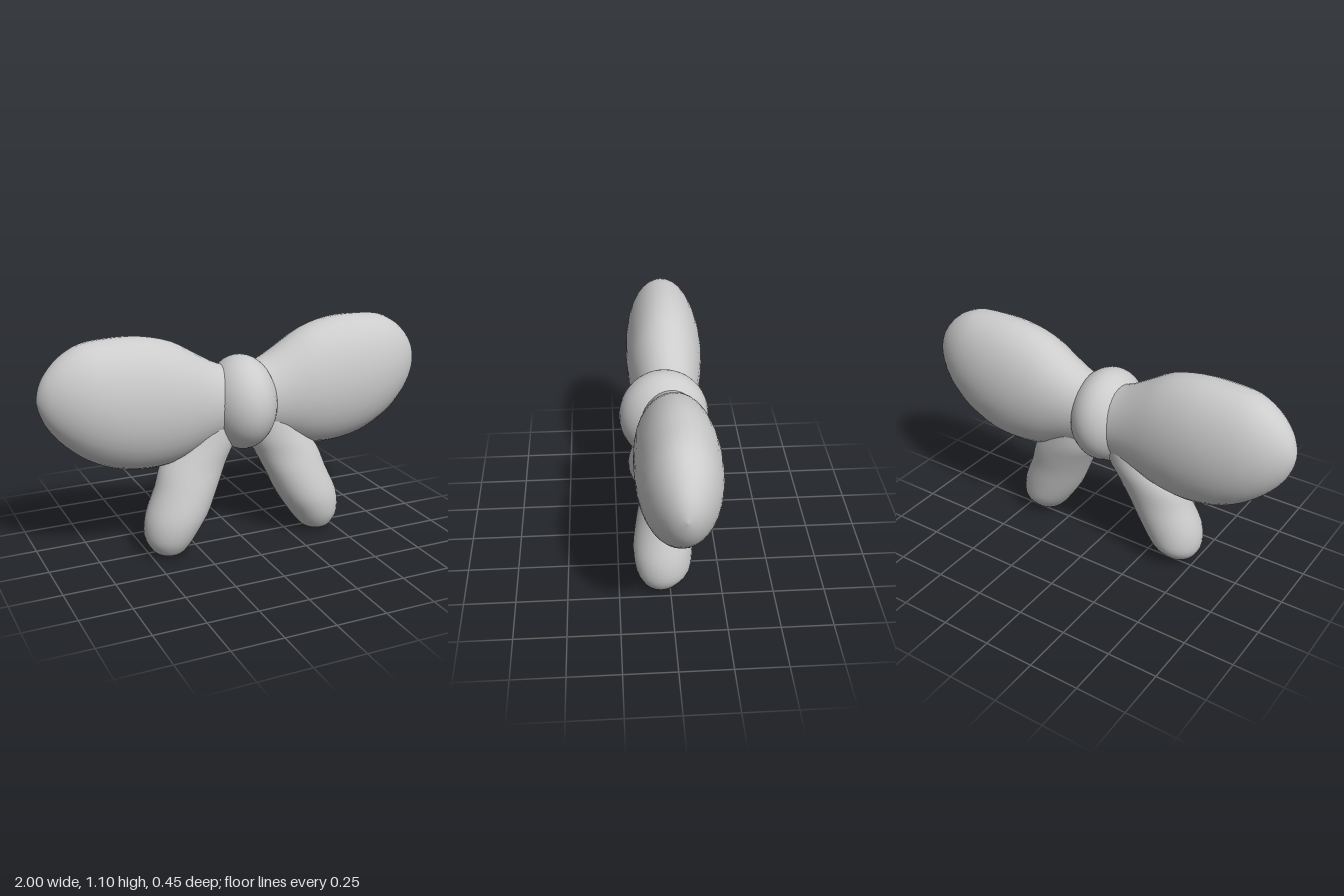
import * as THREE from 'three';

const fabric = new THREE.MeshStandardMaterial({ color: 0xcccccc });
fabric.name = 'greyFabric';

// Smooth loft. Each section: [position, aMin, aMax, bMin, bMax]; place maps (position, a, b) to a point.
function loft(sections, place, steps = 3, sides = 32) {
  const c1 = new THREE.CatmullRomCurve3(sections.map(s => new THREE.Vector3(s[0], s[1], s[2])), false, 'catmullrom', 0.5);
  const c2 = new THREE.CatmullRomCurve3(sections.map(s => new THREE.Vector3(s[3], s[4], 0)), false, 'catmullrom', 0.5);
  const rings = (sections.length - 1) * steps;
  const pos = [], index = [];
  for (let i = 0; i <= rings; i++) {
    const p = c1.getPoint(i / rings), q = c2.getPoint(i / rings);
    for (let j = 0; j < sides; j++) {
      const t = (j / sides) * Math.PI * 2;
      const a = (p.y + p.z) / 2 + Math.cos(t) * (p.z - p.y) / 2;
      const b = (q.x + q.y) / 2 + Math.sin(t) * (q.y - q.x) / 2;
      pos.push(...place(p.x, a, b));
      if (i < rings) {
        const k = (j + 1) % sides, u = i * sides, v = u + sides;
        index.push(u + j, u + k, v + j, u + k, v + k, v + j);
      }
    }
  }
  const g = new THREE.BufferGeometry();
  g.setAttribute('position', new THREE.Float32BufferAttribute(pos, 3));
  g.setIndex(index);
  g.computeVertexNormals();
  return g;
}

// Mirror across x, keeping faces outward
function mirrored(g) {
  const m = g.clone().scale(-1, 1, 1);
  const ix = m.index.array;
  for (let i = 0; i < ix.length; i += 3) [ix[i], ix[i + 1]] = [ix[i + 1], ix[i]];
  m.computeVertexNormals();
  return m;
}

export function createModel() {
  const bow = new THREE.Group();
  bow.name = 'bow';
  const add = (name, g) => {
    const m = new THREE.Mesh(g, fabric);
    m.name = name;
    bow.add(m);
    return m;
  };

  // Puffy loop: x, bottom, top, back, front
  const loop = loft([
    [0.0, 0.56, 0.89, -0.16, 0.12],
    [0.12, 0.54, 0.93, -0.17, 0.125],
    [0.22, 0.51, 0.985, -0.185, 0.14],
    [0.35, 0.465, 1.06, -0.208, 0.163],
    [0.5, 0.45, 1.098, -0.223, 0.17],
    [0.65, 0.475, 1.103, -0.22, 0.165],
    [0.78, 0.535, 1.09, -0.198, 0.145],
    [0.88, 0.615, 1.04, -0.16, 0.105],
    [0.95, 0.7, 0.97, -0.112, 0.055],
    [0.985, 0.775, 0.905, -0.07, 0.01],
    [1.0, 0.84, 0.84, -0.03, -0.03],
  ], (x, y, z) => [x, y, z]);
  add('leftLoop', loop);
  add('rightLoop', mirrored(loop));

  // Hanging tail: y, inner x, outer x, back, front
  const tail = loft([
    [0.004, 0.41, 0.41, 0.05, 0.05],
    [0.02, 0.345, 0.47, -0.015, 0.11],
    [0.05, 0.31, 0.5, -0.055, 0.138],
    [0.11, 0.265, 0.524, -0.098, 0.165],
    [0.21, 0.2, 0.515, -0.113, 0.176],
    [0.34, 0.138, 0.46, -0.122, 0.155],
    [0.45, 0.085, 0.42, -0.137, 0.13],
    [0.56, 0.03, 0.34, -0.145, 0.115],
    [0.7, 0.02, 0.25, -0.12, 0.09],
    [0.76, 0.12, 0.12, 0, 0],
  ], (y, x, z) => [x, y, z]);
  // Lofting upward along y reverses the corner order, so restore it
  const ix = tail.index.array;
  for (let i = 0; i < ix.length; i += 3) [ix[i], ix[i + 1]] = [ix[i + 1], ix[i]];
  tail.computeVertexNormals();
  add('leftTail', tail);
  add('rightTail', mirrored(tail));

  // Centre knot
  const knot = add('knot', new THREE.SphereGeometry(1, 32, 24));
  knot.scale.set(0.17, 0.235, 0.218);
  knot.position.set(0, 0.727, 0.004);

  // Soft web joining the tails under the knot
  const web = add('knotBase', new THREE.SphereGeometry(1, 24, 16));
  web.scale.set(0.2, 0.11, 0.13);
  web.position.set(0, 0.605, -0.01);

  return bow;
}
